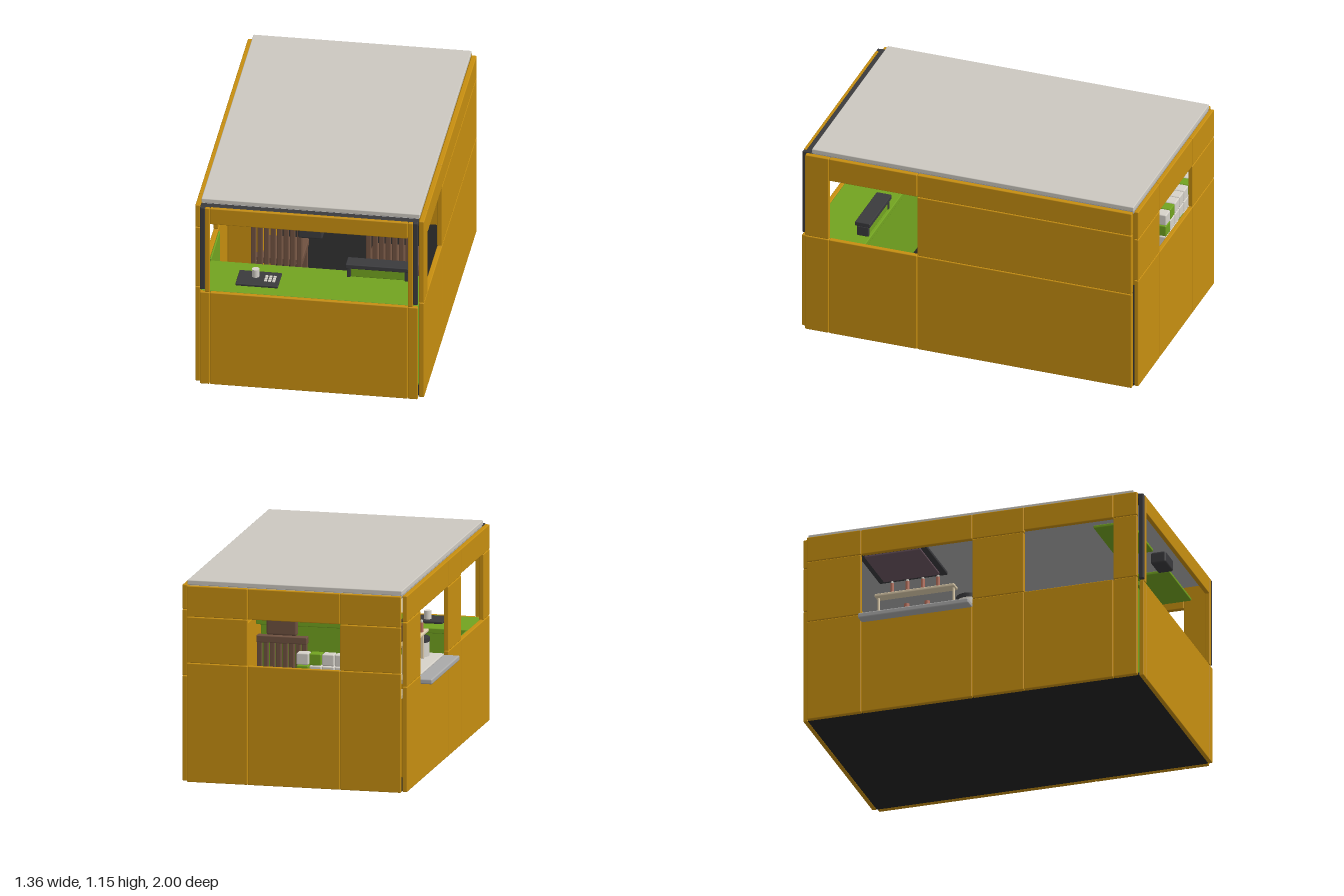
import * as THREE from 'three';
import { RoundedBoxGeometry } from 'three/addons/geometries/RoundedBoxGeometry.js';

const mat = (color) => new THREE.MeshStandardMaterial({ color });
const M = {
  wall: mat(0xc68e10), roof: mat(0xccc8c0), dark: mat(0x3a3a3d), floor: mat(0x222222),
  green: mat(0x72a320), brown: mat(0x6f5140), white: mat(0xd6d2ca), cream: mat(0xe0cfae),
  red: mat(0xb8705c), grey: mat(0xaaaaaa), plum: mat(0x6b5560),
};

export function createModel() {
  const root = new THREE.Group();
  root.name = 'kiosk';

  const group = (name) => {
    const g = new THREE.Group();
    g.name = name;
    root.add(g);
    return g;
  };
  // Softly rounded box given by its extents on each axis
  const box = (parent, name, m, [x0, x1], [y0, y1], [z0, z1], r = 0.005) => {
    const s = [x1 - x0, y1 - y0, z1 - z0];
    const mesh = new THREE.Mesh(new RoundedBoxGeometry(...s, 2, Math.min(r, Math.min(...s) * 0.45)), m);
    mesh.position.set((x0 + x1) / 2, (y0 + y1) / 2, (z0 + z1) / 2);
    mesh.name = name;
    parent.add(mesh);
  };
  const can = (parent, name, m, x, z, y0, y1, r) => {
    const mesh = new THREE.Mesh(new THREE.CylinderGeometry(r, r, y1 - y0, 24), m);
    mesh.position.set(x, (y0 + y1) / 2, z);
    mesh.name = name;
    parent.add(mesh);
  };

  // Floor and roof
  box(root, 'floor', M.floor, [-0.585, 0.645], [0, 0.02], [-0.975, 0.975]);
  box(root, 'roof', M.roof, [-0.585, 0.648], [1.12, 1.148], [-0.972, 0.94]);
  box(root, 'ceiling', M.grey, [-0.58, 0.64], [1.1, 1.12], [-0.97, 0.94]);
  box(root, 'roofEdge', M.dark, [-0.585, 0.645], [1.09, 1.122], [0.94, 0.982]);

  // Model's left wall: panels around one window
  const left = group('leftWall'), lx = [0.648, 0.677];
  for (const y of [[0, 0.6], [0.602, 0.978], [0.98, 1.12]]) box(left, 'sidePanel', M.wall, lx, y, [-0.97, 0.304]);
  box(left, 'windowSillPanel', M.wall, lx, [0, 0.6], [0.306, 0.828]);
  box(left, 'windowHeader', M.wall, lx, [0.98, 1.12], [0.306, 0.828]);
  for (const y of [[0, 0.6], [0.602, 1.12]]) box(left, 'endPanel', M.wall, lx, y, [0.83, 0.97]);

  // Model's right wall: serving hatch and front window
  const right = group('rightWall'), rx = [-0.615, -0.587];
  for (const [z, top, head] of [
    [[-0.97, -0.652], 0.6, 0.97], [[0.002, 0.304], 0.6, 0.97], [[0.83, 0.97], 0.6, 0.98],
  ]) {
    box(right, 'lowerPanel', M.wall, rx, [0, top], z);
    box(right, 'middlePanel', M.wall, rx, [top + 0.002, head - 0.002], z);
    box(right, 'upperPanel', M.wall, rx, [head, 1.12], z);
  }
  box(right, 'hatchSillPanel', M.wall, rx, [0, 0.578], [-0.65, 0]);
  box(right, 'hatchHeader', M.wall, rx, [0.97, 1.12], [-0.65, 0]);
  box(right, 'windowSillPanel', M.wall, rx, [0, 0.6], [0.306, 0.828]);
  box(right, 'windowHeader', M.wall, rx, [0.98, 1.12], [0.306, 0.828]);
  box(right, 'servingShelf', M.grey, [-0.68, -0.587], [0.55, 0.58], [-0.65, 0], 0.008);

  // Back wall: three columns with a window in the middle
  const back = group('backWall'), bz = [-1, -0.974];
  for (const x of [[-0.585, -0.236], [-0.234, 0.294], [0.296, 0.645]]) {
    box(back, 'lowerPanel', M.wall, x, [0, 0.679], bz);
    if (x[0] !== -0.234) box(back, 'middlePanel', M.wall, x, [0.681, 0.943], bz);
    box(back, 'upperPanel', M.wall, x, [0.945, 1.12], bz);
  }

  // Front wall: counter front, header, posts
  const front = group('frontWall'), fz = [0.974, 1];
  box(front, 'counterFront', M.wall, [-0.528, 0.588], [0, 0.584], fz);
  box(front, 'header', M.wall, [-0.528, 0.588], [1.02, 1.12], fz);
  for (const [a, b, c] of [[-0.585, -0.557, -0.53], [0.645, 0.618, 0.59]]) {
    const span = (p, q) => [Math.min(p, q), Math.max(p, q)];
    box(front, 'lowerPost', M.wall, span(a, c), [0, 0.584], fz);
    box(front, 'darkPost', M.dark, span(a, b), [0.6, 1.12], [0.97, 0.998]);
    box(front, 'postTrim', M.wall, span(b, c), [0.586, 1.12], fz);
  }

  // Front counter with its side lining
  const counter = group('frontCounter');
  box(counter, 'counterTop', M.green, [-0.583, 0.645], [0.555, 0.585], [0.63, 0.973]);
  box(counter, 'counterBody', M.green, [-0.57, 0.63], [0.02, 0.555], [0.68, 0.96]);
  box(counter, 'sideLining', M.green, [-0.586, -0.576], [0.02, 0.595], [0.306, 0.63]);
  box(counter, 'tray', M.dark, [-0.4, -0.16], [0.585, 0.6], [0.74, 0.9]);
  can(counter, 'cup', M.white, -0.3, 0.8, 0.6, 0.647, 0.021);
  for (let i = 0; i < 9; i++) {
    const x = -0.245 + (i % 3) * 0.023, z = 0.79 + Math.floor(i / 3) * 0.025;
    box(counter, 'key', M.white, [x, x + 0.017], [0.6, 0.606], [z, z + 0.018], 0.002);
  }

  // Low stand on the counter
  const stand = group('counterStand');
  box(stand, 'standTop', M.dark, [0.195, 0.55], [0.645, 0.672], [0.63, 0.72]);
  box(stand, 'standBody', M.green, [0.222, 0.525], [0.585, 0.645], [0.645, 0.7]);
  for (const x of [0.2, 0.525]) box(stand, 'standLeg', M.dark, [x, x + 0.022], [0.585, 0.645], [0.64, 0.71]);

  // Two slatted chairs
  for (const cx of [-0.295, 0.355]) {
    const chair = group('chair');
    box(chair, 'headrest', M.brown, [cx - 0.087, cx + 0.087], [0.63, 0.732], [0.04, 0.09], 0.012);
    box(chair, 'backRail', M.brown, [cx - 0.145, cx + 0.145], [0.585, 0.625], [0.04, 0.09]);
    for (let i = 0; i < 8; i++) {
      const x = cx - 0.143 + i * 0.037;
      box(chair, 'slat', M.brown, [x, x + 0.028], [0.1, 0.59], [0.05, 0.08]);
    }
    box(chair, 'seat', M.brown, [cx - 0.145, cx + 0.145], [0.27, 0.31], [-0.2, 0.06]);
    for (const sx of [-1, 1]) for (const z of [-0.19, 0.04])
      box(chair, 'leg', M.brown, [cx + sx * 0.125 - 0.015, cx + sx * 0.125 + 0.015], [0.02, 0.29], [z, z + 0.03]);
  }

  // Service counter behind the hatch
  const service = group('serviceCounter');
  box(service, 'serviceTop', M.white, [-0.586, -0.36], [0.555, 0.583], [-0.7, 0.02]);
  box(service, 'serviceBody', M.wall, [-0.58, -0.38], [0.02, 0.555], [-0.69, 0.01]);
  can(service, 'pot', M.white, -0.45, -0.07, 0.583, 0.665, 0.07);
  can(service, 'potLid', M.dark, -0.45, -0.07, 0.665, 0.69, 0.073);
  box(service, 'bottleShelf', M.cream, [-0.535, -0.468], [0.737, 0.754], [-0.6, -0.13]);
  for (const z of [-0.59, -0.15]) box(service, 'shelfLeg', M.cream, [-0.51, -0.49], [0.583, 0.74], [z, z + 0.012]);
  for (let i = 0; i < 4; i++) {
    const z = -0.5 + i * 0.09;
    can(service, 'bottle', M.red, -0.517, z, 0.754, 0.81, 0.011);
    can(service, 'bottleCap', M.white, -0.517, z, 0.81, 0.822, 0.008);
  }
  for (const z of [-0.42, -0.3]) can(service, 'tallBottle', M.red, -0.5, z, 0.583, 0.68, 0.016);

  // Stacked cubes on a bench along the back wall
  const stock = group('stockCubes');
  box(stock, 'backBench', M.white, [-0.58, 0.04], [0.525, 0.55], [-0.97, -0.8]);
  for (let row = 0; row < 3; row++) for (let col = 0; col < 8; col++) {
    const x = -0.554 + col * 0.0735, y = 0.55 + row * 0.0695;
    const g = [[4], [7], [2, 6]][row].includes(col);
    box(stock, 'cube', g ? M.green : M.white, [x, x + 0.069], [y, y + 0.067], [-0.94, -0.872], 0.007);
  }

  // Hanging fittings under the roof
  const top = group('ceilingFittings');
  for (const x of [[-0.51, -0.11], [0.172, 0.572]]) box(top, 'greenPanel', M.green, x, [0.982, 1.0], [0.68, 0.9]);
  box(top, 'speaker', M.dark, [-0.04, 0.1], [0.945, 1.015], [0.86, 0.95], 0.012);
  box(top, 'ventFrame', M.dark, [-0.4, 0.02], [1.08, 1.1], [-0.75, -0.35]);
  box(top, 'ventPanel', M.plum, [-0.365, -0.015], [1.07, 1.09], [-0.715, -0.385]);

  return root;
}
